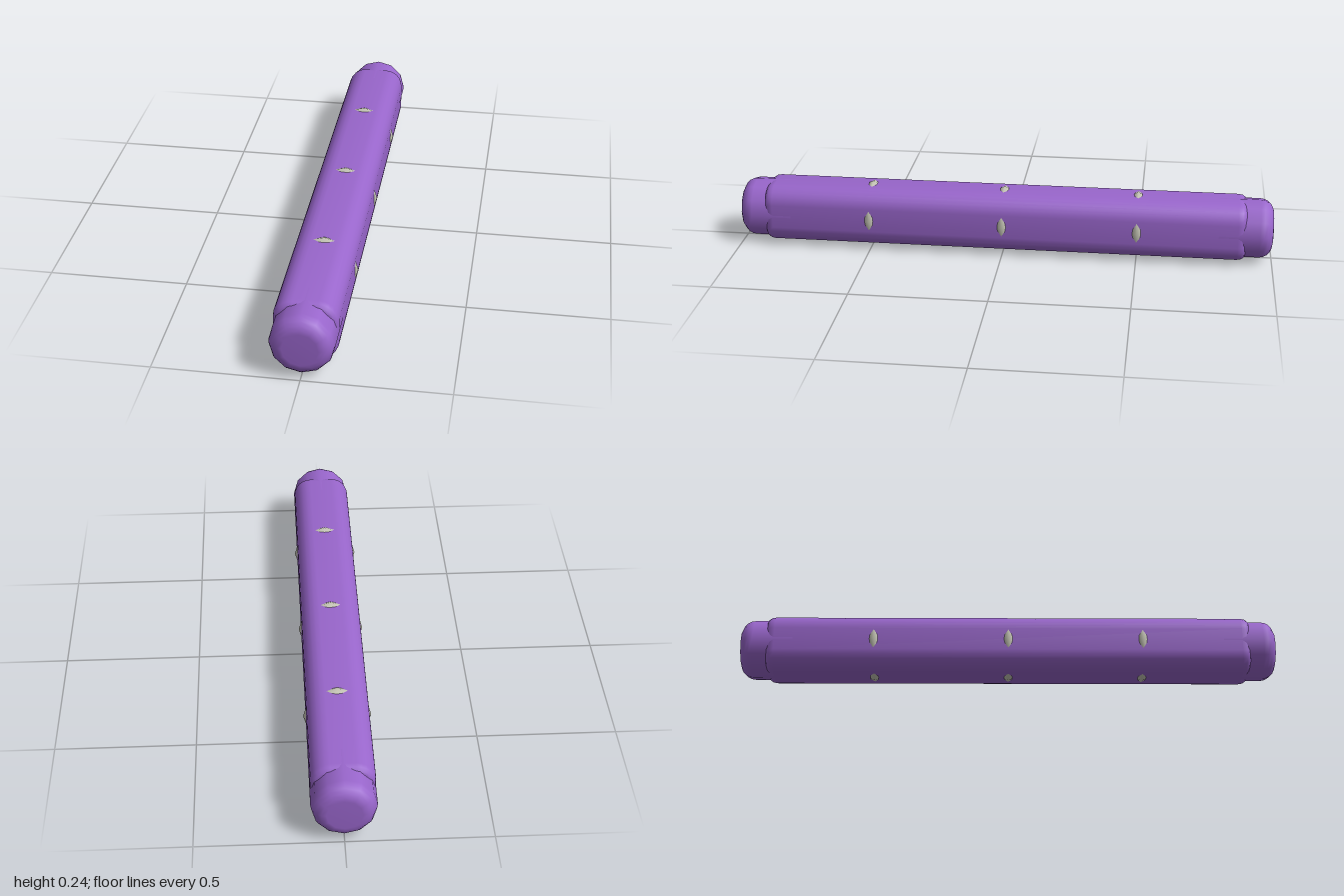
import * as THREE from 'three';
import { toCreasedNormals } from 'three/addons/utils/BufferGeometryUtils.js';

const CENTER_Y = 0.12;

// Square outline with rounded corners
function roundedSquare(half, r) {
  const c = half - r;
  const s = new THREE.Shape();
  [[c, c], [-c, c], [-c, -c], [c, -c]].forEach(([x, y], i) => {
    s.absarc(x, y, r, i * Math.PI / 2, (i + 1) * Math.PI / 2, false);
  });
  s.closePath();
  return s;
}

export function createModel() {
  const group = new THREE.Group();
  group.name = 'bar';
  const purple = new THREE.MeshStandardMaterial({ color: 0x9966cc });
  purple.name = 'purple';
  const silver = new THREE.MeshStandardMaterial({ color: 0xc6c6b6 });
  silver.name = 'silver';

  const add = (name, geometry, material, z = 0) => {
    const mesh = new THREE.Mesh(geometry, material);
    mesh.name = name;
    mesh.position.set(0, CENTER_Y, z);
    group.add(mesh);
    return mesh;
  };

  // Long body with softened ends
  const bevel = 0.03;
  const length = 1.8;
  const body = new THREE.ExtrudeGeometry(roundedSquare(0.09, 0.048), {
    depth: length - 2 * bevel, curveSegments: 3,
    bevelThickness: bevel, bevelSize: 0.02, bevelSegments: 3,
  });
  body.translate(0, 0, -(length / 2 - bevel));
  add('body', toCreasedNormals(body, 0.75), purple);

  // Twelve-sided rounded end caps
  const R = 0.111, fillet = 0.05;
  const profile = [new THREE.Vector2(R, 0.8)];
  for (let i = 0; i <= 5; i++) {
    const a = i / 5 * Math.PI / 2;
    profile.push(new THREE.Vector2(R - fillet + fillet * Math.cos(a), 1 - fillet + fillet * Math.sin(a)));
  }
  profile.push(new THREE.Vector2(0, 1));
  for (const side of [1, -1]) {
    const cap = new THREE.LatheGeometry(profile, 12);
    cap.rotateX(side * Math.PI / 2);
    add(side > 0 ? 'frontCap' : 'backCap', cap, purple);
  }

  // Embedded rings that break the surface as small studs on each side
  for (const z of [-0.5, 0, 0.5]) {
    add('ring', new THREE.TorusGeometry(0.1, 0.02, 8, 12), silver, z);
  }
  return group;
}
